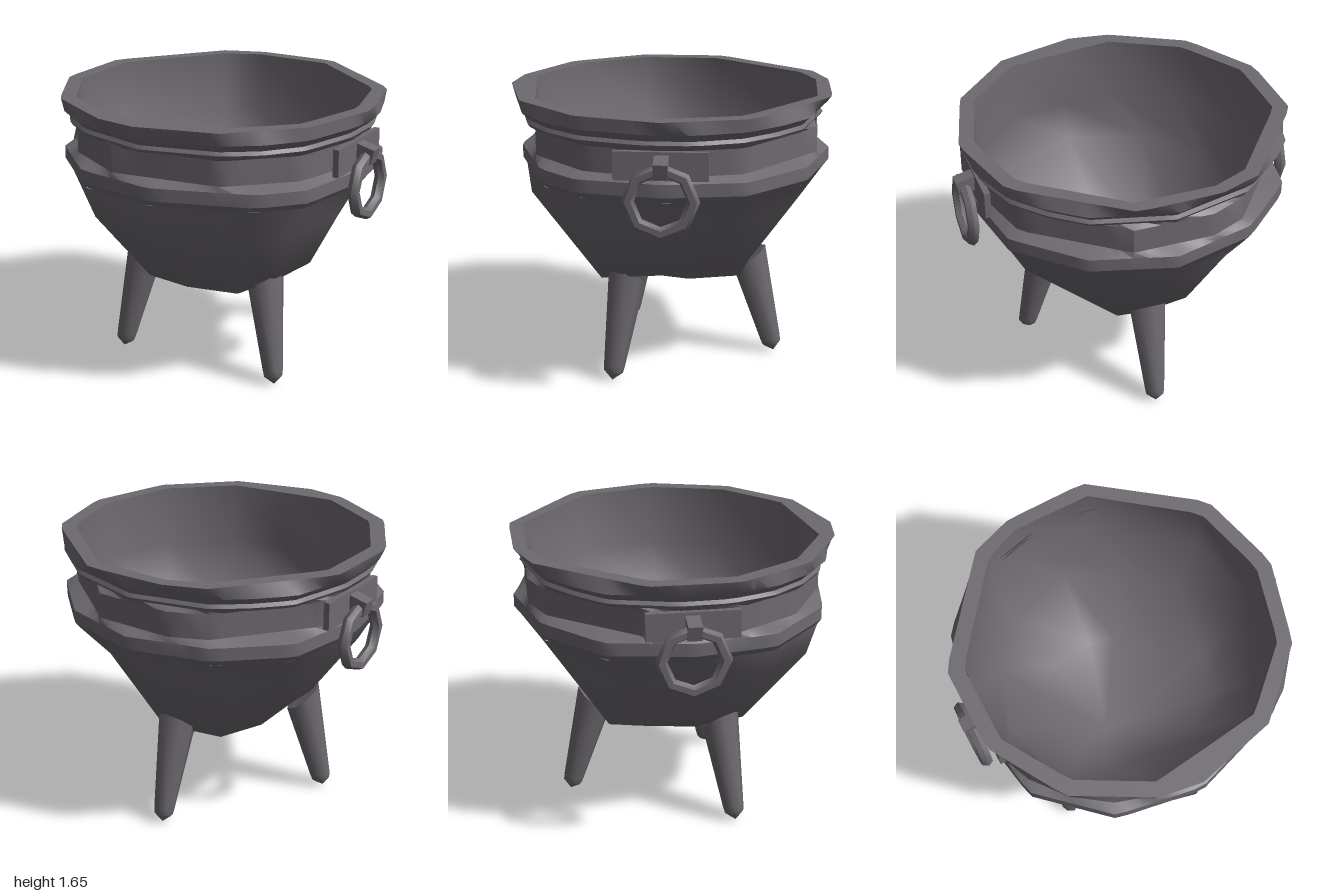
import * as THREE from 'three';
import { mergeVertices, toCreasedNormals } from 'three/addons/utils/BufferGeometryUtils.js';

const iron = new THREE.MeshStandardMaterial({ color: 0x6e6a70 });
iron.name = 'castIron';

// Uneven hammered outlines as [x, z] corners, counted from the front round to the left
const RIM = [[0, .94], [.47, .815], [.82, .465], [.955, -.02], [.825, -.51], [.24, -.945],
  [-.24, -.935], [-.485, -.845], [-.94, -.27], [-.94, .23], [-.685, .665], [-.25, .905]];
const LIP = [[0, .92], [.47, .8], [.66, .66], [.82, .46], [.92, .1], [.92, -.2], [.82, -.48],
  [.66, -.66], [.47, -.81], [0, -.93], [-.48, -.81], [-.66, -.66], [-.82, -.49], [-.92, -.1],
  [-.91, .2], [-.82, .46], [-.66, .66], [-.45, .81]];
const MOUTH = [[.1, .777], [.43, .73], [.75, .42], [.865, -.02], [.75, -.46], [.23, -.86],
  [-.23, -.86], [-.44, -.77], [-.85, -.24], [-.85, .22], [-.62, .6], [-.22, .82]];
const BAND = [[.05, .88], [.62, .68], [.82, .46], [.9, -.02], [.82, -.48], [.47, -.81],
  [0, -.94], [-.48, -.81], [-.82, -.49], [-.9, 0], [-.82, .46], [-.45, .8]];
const BELLY = [[.05, .83], [.55, .6], [.7, .38], [.77, 0], [.6, -.38], [.36, -.64],
  [0, -.78], [-.4, -.66], [-.64, -.4], [-.75, 0], [-.7, .38], [-.42, .72]];
const BASE = [[0, .4], [.33, .38], [.5, .25], [.6, 0], [.42, -.14], [.17, -.43],
  [0, -.45], [-.27, -.42], [-.44, -.25], [-.5, 0], [-.46, .25], [-.28, .38]];
const BASE_Y = [.54, .56, .63, .68, .6, .54, .54, .55, .61, .68, .64, .55];

// Turns an outline into a ring of 3D points at a height (one number, or one per corner)
const ring = (outline, y, s = 1, lift = 0) =>
  outline.map(([x, z], i) => [x * s, (Array.isArray(y) ? y[i] : y) + lift, z * s]);
const point = (x, y, z) => Array.from({ length: 12 }, () => [x, y, z]);

// Resamples an outline at even angles, so outlines with different corners join without twisting
const cross = (a, b) => a[0] * b[1] - a[1] * b[0];
function evenRing(outline, y, s = 1) {
  const points = [];
  for (let i = 0; i < 72; i++) {
    const angle = i / 72 * Math.PI * 2, dir = [Math.sin(angle), Math.cos(angle)];
    const next = (k) => outline[(k + 1) % outline.length];
    const k = outline.findIndex((p, e) => cross(p, dir) <= 1e-9 && cross(dir, next(e)) <= 1e-9);
    const p = outline[k], edge = [next(k)[0] - p[0], next(k)[1] - p[1]];
    const reach = s * cross(p, edge) / cross(dir, edge);
    points.push([dir[0] * reach, y, dir[1] * reach]);
  }
  return points;
}

// Skins a run of rings; running downwards faces out, upwards faces in
function loft(rings) {
  const n = rings[0].length, index = [];
  for (let r = 0; r < rings.length - 1; r++) {
    for (let j = 0; j < n; j++) {
      const k = (j + 1) % n, a = r * n + j, b = r * n + k;
      index.push(a, a + n, b + n, a, b + n, b);
    }
  }
  const geo = new THREE.BufferGeometry();
  geo.setAttribute('position', new THREE.Float32BufferAttribute(rings.flat(2), 3));
  geo.setIndex(index);
  const merged = mergeVertices(geo);
  merged.computeVertexNormals();
  return merged;
}

function add(parent, name, geo) {
  const mesh = new THREE.Mesh(geo, iron);
  mesh.name = name;
  parent.add(mesh);
  return mesh;
}

// Tapered leg with a blunt pointed foot; its top is cut at a slant, higher on the outside
function addLeg(parent, name, foot, hip) {
  const axis = new THREE.Vector3().subVectors(hip, foot), len = axis.length();
  const out = new THREE.Vector3(foot.x, 0, foot.z).normalize();
  const profile = [[0, 0], [.056, .05], [.062, .09], [.11, len], [0, len]]
    .map(([r, y]) => new THREE.Vector2(r, y));
  const geo = new THREE.LatheGeometry(profile, 8);
  const pos = geo.attributes.position;
  for (let i = 0; i < pos.count; i++) {
    if (pos.getY(i) > .2) {
      pos.setY(i, len + .5 * (pos.getX(i) * out.x + pos.getZ(i) * out.z));
    }
  }
  const leg = add(parent, name, toCreasedNormals(geo, 0.85));
  leg.position.copy(foot);
  leg.quaternion.setFromUnitVectors(new THREE.Vector3(0, 1, 0), axis.normalize());
}

// Wall plate, lug and hanging ring on one side (side = 1 or -1)
function addHandle(parent, side) {
  const handle = new THREE.Group();
  handle.name = side > 0 ? 'leftHandle' : 'rightHandle';
  parent.add(handle);

  const plate = add(handle, 'handlePlate', new THREE.BoxGeometry(.035, .16, .52));
  plate.position.set(side * .872, 1.4, -.015);

  const lug = add(handle, 'handleLug', new THREE.BoxGeometry(.11, .09, .08));
  lug.position.set(side * .932, 1.405, -.02);
  lug.rotation.z = -side * .25;

  const hoop = add(handle, 'handleRing',
    toCreasedNormals(new THREE.TorusGeometry(.178, .035, 6, 8), 0.8));
  hoop.rotation.y = Math.PI / 2;
  hoop.position.set(side * .943, 1.222, -.02);
}

export function createModel() {
  const model = new THREE.Group();
  model.name = 'cauldron';

  // Inside of the pot, from the floor up to the mouth
  add(model, 'innerWall', loft([
    point(-.15, .5, .08), ring(BASE, BASE_Y, .95, .04), ring(BELLY, 1.0, .97),
    ring(MOUTH, 1.3, .98), ring(MOUTH, 1.655),
  ]));

  // Lip, groove, neck and shoulder band
  add(model, 'rim', toCreasedNormals(loft([
    evenRing(MOUTH, 1.655), evenRing(RIM, 1.655), evenRing(LIP, 1.58), evenRing(LIP, 1.535, .95),
  ]), 0.6));
  add(model, 'neck', toCreasedNormals(loft([
    evenRing(LIP, 1.535, .95), evenRing(LIP, 1.515, .965), evenRing(LIP, 1.495, .95),
    evenRing(MOUTH, 1.475, 1.005), evenRing(MOUTH, 1.33, 1.005),
  ]), 0.6));
  add(model, 'shoulderBand', toCreasedNormals(loft([
    evenRing(MOUTH, 1.33, 1.005), evenRing(BAND, 1.3), evenRing(BAND, 1.225),
    evenRing(BAND, 1.19, .97),
  ]), 0.6));

  // Rounded belly
  add(model, 'bowl', loft([
    ring(BAND, 1.19, .97), ring(BELLY, 1.0), ring(BASE, BASE_Y), point(-.18, .455, .1),
  ]));

  // Three legs and two handles
  for (const s of [1, -1]) {
    addLeg(model, s > 0 ? 'frontLeftLeg' : 'frontRightLeg',
      new THREE.Vector3(s * .535, 0, .3), new THREE.Vector3(s * .425, .61, .22));
    addHandle(model, s);
  }
  addLeg(model, 'backLeg', new THREE.Vector3(0, 0, -.64), new THREE.Vector3(0, .6, -.485));

  return model;
}
